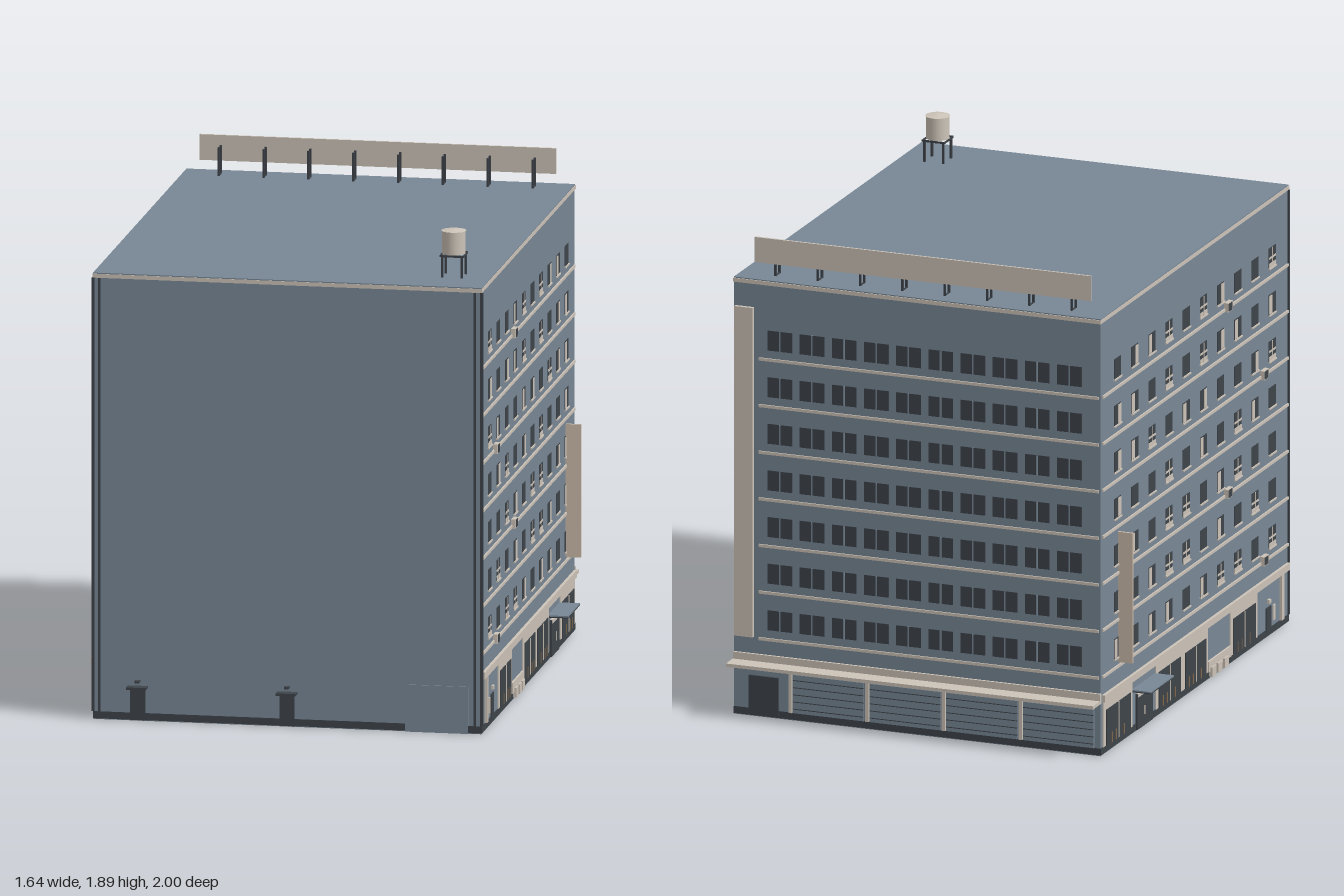
import * as THREE from 'three';

const mat = (name, color) => Object.assign(new THREE.MeshStandardMaterial({ color }), { name });

export function createModel() {
  const root = new THREE.Group();
  root.name = 'cityBlock';
  const wall = mat('slateWall', 0x798896);
  const trim = mat('stoneTrim', 0xcdc4b8);
  const dark = mat('darkGlass', 0x3e444a);
  const brown = mat('brownWood', 0x7c664c);
  const blade = mat('signPanel', 0xcdbcab);

  const group = (name) => {
    const g = new THREE.Group();
    g.name = name;
    root.add(g);
    return g;
  };
  // Box given by its lower and upper limits
  const box = (parent, name, m, x0, x1, y0, y1, z0, z1) => {
    const mesh = new THREE.Mesh(
      new THREE.BoxGeometry(Math.abs(x1 - x0), Math.abs(y1 - y0), Math.abs(z1 - z0)), m);
    mesh.position.set((x0 + x1) / 2, (y0 + y1) / 2, (z0 + z1) / 2);
    mesh.name = name;
    parent.add(mesh);
    return mesh;
  };

  // Main block, base and roof edge
  const body = group('building');
  box(body, 'walls', wall, -0.74, 0.74, 0, 1.7, -0.92, 0.96);
  box(body, 'baseBand', dark, -0.742, 0.742, 0.003, 0.03, -0.922, 0.962);
  box(body, 'cornice', trim, -0.743, 0.743, 1.692, 1.707, -0.925, 0.963);
  box(body, 'roof', wall, -0.741, 0.741, 1.704, 1.711, -0.921, 0.961);

  // Blank front wall: service doors, brick panel and drain pipes
  const front = group('frontWall');
  for (const x of [-0.57, 0]) {
    box(front, 'serviceDoor', dark, x - 0.028, x + 0.028, 0.003, 0.118, 0.955, 0.968);
    box(front, 'doorAwning', dark, x - 0.038, x + 0.038, 0.125, 0.134, 0.955, 1.0);
    box(front, 'doorLamp', dark, x - 0.009, x + 0.009, 0.148, 0.156, 0.955, 0.985);
  }
  box(front, 'brickPanel', wall, 0.45, 0.69, 0, 0.18, 0.955, 0.965);
  for (const s of [-1, 1]) {
    box(front, 'drainPipe', dark, s * 0.712, s * 0.72, 0.03, 1.692, 0.955, 0.968);
    box(front, 'cornerPipe', dark, s * 0.735, s * 0.746, 0.03, 1.692, 0.952, 0.964);
  }

  // Side walls, rows from the top; L/R open sash, X glazing bars, D plain
  const patterns = ['XDDLXDXRLD', 'RDRLXDXDRL', 'XLDDLRDXRL', 'DRXDRDXDDL',
    'DDXRDXXDRL', 'DXDRDXXRDL', 'XDXXRDRRDR'];
  const rowY = (r) => 1.475 - r * 0.1825;
  for (const s of [1, -1]) {
    const side = group(s > 0 ? 'leftWall' : 'rightWall');
    // Part on the side wall, spanning z0..z1 and reaching out to x = out
    const part = (name, m, z0, z1, y0, y1, out) =>
      box(side, name, m, s * 0.735, s * out, y0, y1, z0, z1);

    patterns.forEach((row, r) => {
      const y = rowY(r);
      part('floorBand', trim, -0.905, 0.95, y - 0.08, y - 0.069, 0.746);
      [...row].forEach((kind, c) => {
        const z = 0.797 - c * 0.172;
        part('windowGlass', dark, z - 0.034, z + 0.034, y - 0.038, y + 0.04, 0.7415);
        part('windowSill', trim, z - 0.037, z + 0.037, y - 0.044, y - 0.038, 0.746);
        if (kind === 'L') part('curtain', trim, z + 0.004, z + 0.032, y - 0.036, y + 0.036, 0.743);
        if (kind === 'R') part('curtain', trim, z - 0.032, z - 0.004, y - 0.036, y + 0.036, 0.743);
        if (kind === 'X') {
          part('mullion', trim, z - 0.0025, z + 0.0025, y - 0.038, y + 0.038, 0.7432);
          part('transom', trim, z - 0.034, z + 0.034, y - 0.004, y + 0.004, 0.743);
          part('blind', trim, z - 0.034, z + 0.034, y - 0.037, y - 0.02, 0.743);
        }
      });
    });

    // Air conditioners
    for (const [z, y] of [[0.34, 1.41], [0.7, 1.043], [0.34, 0.68], [0.7, 0.315]]) {
      part('airConditioner', trim, z - 0.024, z + 0.024, y - 0.018, y + 0.018, 0.757);
      part('airConditionerGrille', dark, z - 0.018, z + 0.015, y - 0.015, y + 0.015, 0.759);
    }

    // Shop floor
    part('shopFascia', trim, -0.905, 0.95, 0.208, 0.235, 0.752);
    part('pilaster', trim, 0.87, 0.895, 0.03, 0.208, 0.75);
    part('sideDoor', dark, 0.73, 0.78, 0.02, 0.115, 0.745);
    part('doorLight', trim, 0.745, 0.765, 0.13, 0.145, 0.75);
    part('noticeBoard', trim, 0.8, 0.82, 0.05, 0.11, 0.745);
    for (const [z0, z1] of [[0.37, 0.64], [-0.11, 0.145], [-0.375, -0.11], [-0.9, -0.61]]) {
      part('shopFrame', trim, z0, z1, 0.03, 0.208, 0.745);
      part('shopGlass', dark, z0 + 0.024, z1 - 0.024, 0.03, 0.17, 0.748);
      const m = (z0 + z1) / 2;
      part('shopMullion', trim, m - 0.003, m + 0.003, 0.03, 0.17, 0.75);
      for (const k of [-0.07, -0.03, 0.05]) {
        part('displayItem', brown, m + k - 0.004, m + k + 0.004, 0.03, 0.07, 0.75);
      }
    }
    part('planterWall', trim, 0.145, 0.37, 0.03, 0.072, 0.748);
    for (const z of [0.31, 0.245, 0.185]) {
      part('streetBox', trim, z - 0.021, z + 0.021, 0.008, 0.045, 0.755);
    }

    // Main entrance with canopy
    part('entranceFrame', dark, -0.57, -0.415, 0.005, 0.145, 0.748);
    part('entranceLintel', trim, -0.565, -0.42, 0.132, 0.146, 0.751);
    part('doorHandle', trim, -0.504, -0.5, 0.05, 0.085, 0.752);
    part('entranceCanopy', wall, -0.61, -0.375, 0.168, 0.173, 0.818);
    part('canopyUnderside', dark, -0.61, -0.375, 0.164, 0.168, 0.818);

    // Projecting vertical sign
    part('bladeSign', blade, -0.745, -0.735, 0.32, 0.83, 0.798);
  }

  // Rear wall with paired windows
  const rear = group('rearWall');
  const back = (name, m, x0, x1, y0, y1, out) => box(rear, name, m, x0, x1, y0, y1, -0.915, out);
  for (let r = 0; r < 7; r++) {
    const y = rowY(r);
    back('floorBand', trim, -0.735, 0.64, y - 0.08, y - 0.069, -0.926);
    for (let c = 0; c < 10; c++) {
      const x = 0.555 - c * 0.13;
      back('windowGlass', dark, x - 0.05, x + 0.05, y - 0.038, y + 0.04, -0.922);
      back('windowMullion', wall, x - 0.003, x + 0.003, y - 0.038, y + 0.04, -0.924);
    }
  }
  back('verticalPanel', trim, 0.66, 0.735, 0.31, 1.6, -0.934);
  back('rearCanopy', trim, -0.742, 0.742, 0.205, 0.218, -1.0);
  back('rearFascia', trim, -0.742, 0.742, 0.218, 0.245, -0.93);
  back('rearDoor', dark, 0.56, 0.68, 0.01, 0.16, -0.928);
  // Roller shutters between posts
  for (let i = 0; i < 4; i++) {
    const x = 0.5 - i * 0.31;
    back('shutter', wall, x - 0.285, x, 0.03, 0.18, -0.926);
    for (let k = 0; k < 5; k++) {
      back('shutterSlat', dark, x - 0.285, x, 0.045 + k * 0.028, 0.048 + k * 0.028, -0.928);
    }
    back('shutterPost', trim, x + 0.004, x + 0.018, 0.03, 0.205, -0.929);
  }

  // Rooftop billboard on paired posts
  const billboard = group('billboard');
  box(billboard, 'panel', trim, -0.68, 0.68, 1.76, 1.858, -0.868, -0.859);
  for (let i = 0; i < 8; i++) {
    const x = -0.598 + i * 0.171;
    box(billboard, 'rearPost', dark, x - 0.004, x + 0.004, 1.708, 1.82, -0.859, -0.853);
    box(billboard, 'frontPost', dark, x - 0.004, x + 0.004, 1.708, 1.82, -0.819, -0.811);
    box(billboard, 'footRail', dark, x - 0.003, x + 0.003, 1.709, 1.715, -0.855, -0.815);
  }

  // Water tank on an open stand
  const tank = group('waterTank');
  tank.position.set(0.598, 0, 0.765);
  const drum = new THREE.Mesh(new THREE.CylinderGeometry(0.044, 0.044, 0.088, 24), trim);
  drum.position.y = 1.842;
  drum.name = 'drum';
  const lid = new THREE.Mesh(new THREE.ConeGeometry(0.047, 0.007, 24), trim);
  lid.position.y = 1.889;
  lid.name = 'lid';
  tank.add(drum, lid);
  for (const s of [-1, 1]) {
    box(tank, 'sideBeam', dark, s * 0.043, s * 0.046, 1.79, 1.798, -0.046, 0.046);
    box(tank, 'crossBeam', dark, -0.043, 0.043, 1.79, 1.798, s * 0.043, s * 0.046);
    for (const z of [-0.038, 0.038]) {
      box(tank, 'leg', dark, s * 0.034, s * 0.042, 1.708, 1.79, z - 0.004, z + 0.004);
    }
  }
  return root;
}
